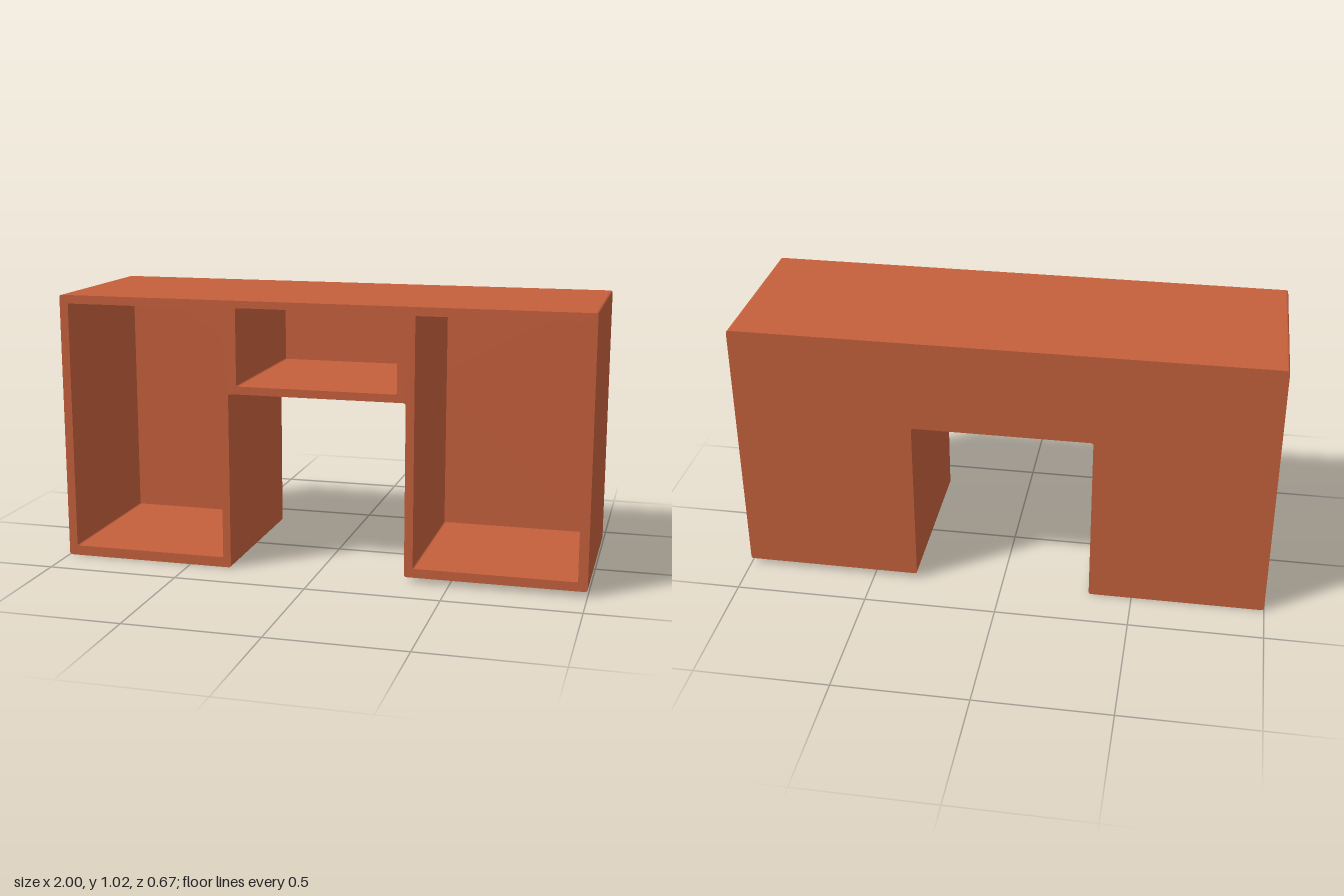
import * as THREE from 'three';

const HALF_DEPTH = 0.333, BACK = 0.036;

// Trace a closed polygon with small rounded corners
function trace(path, pts, r) {
  const v = pts.map(([x, y]) => new THREE.Vector2(x, y));
  v.forEach((p, i) => {
    const prev = v[(i + v.length - 1) % v.length], next = v[(i + 1) % v.length];
    const a = prev.clone().sub(p).setLength(r).add(p);
    const b = next.clone().sub(p).setLength(r).add(p);
    if (i === 0) path.moveTo(a.x, a.y);
    else path.lineTo(a.x, a.y);
    path.quadraticCurveTo(p.x, p.y, b.x, b.y);
  });
  path.closePath();
  return path;
}

// Desk outline: two pedestals (the left one slightly shorter) joined by a bridge
const outline = [
  [-1, 0], [-0.337, 0], [-0.337, 0.67], [0.333, 0.67],
  [0.333, 0.02], [1, 0.02], [1, 1.017], [-1, 1.017],
];

// Open compartments: x0, y0, x1, y1
const compartments = [
  [-0.967, 0.038, -0.367, 0.985],
  [-0.305, 0.7, 0.301, 0.99],
  [0.365, 0.054, 0.965, 0.985],
];

export function createModel() {
  const desk = new THREE.Group();
  desk.name = 'desk';
  const terracotta = new THREE.MeshStandardMaterial({ color: 0xc5603c });
  terracotta.name = 'terracotta';

  const addSlab = (name, shape, depth, z) => {
    const geo = new THREE.ExtrudeGeometry(shape, { depth, bevelEnabled: false, curveSegments: 4 });
    const mesh = new THREE.Mesh(geo, terracotta);
    mesh.name = name;
    mesh.position.z = z;
    desk.add(mesh);
  };

  // Carcass with the compartments cut through it
  const frame = trace(new THREE.Shape(), outline, 0.01);
  for (const [x0, y0, x1, y1] of compartments) {
    frame.holes.push(trace(new THREE.Path(), [[x0, y0], [x0, y1], [x1, y1], [x1, y0]], 0.008));
  }
  addSlab('carcass', frame, 2 * HALF_DEPTH - BACK, -HALF_DEPTH + BACK);

  // Solid panel closing the rear
  addSlab('backPanel', trace(new THREE.Shape(), outline, 0.01), BACK, -HALF_DEPTH);

  return desk;
}
